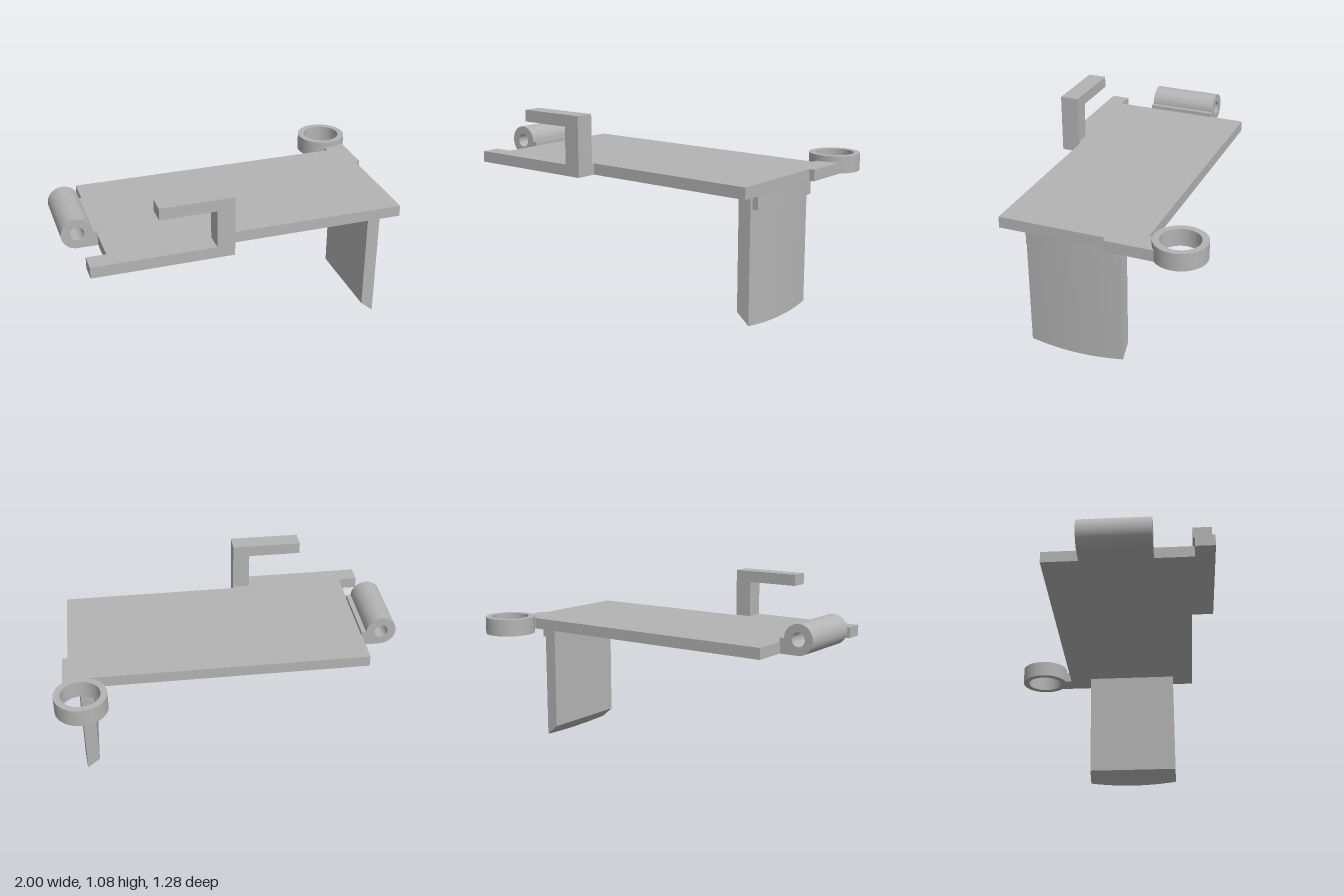
import * as THREE from 'three';
import { toCreasedNormals } from 'three/addons/utils/BufferGeometryUtils.js';

const BOTTOM = 0.735, TOP = 0.8;

export function createModel() {
  const group = new THREE.Group();
  const grey = new THREE.MeshStandardMaterial({ color: 0xb4b4b4 });
  grey.name = 'plain grey';

  const add = (name, geometry) => {
    const mesh = new THREE.Mesh(toCreasedNormals(geometry, Math.PI / 6), grey);
    mesh.name = name;
    group.add(mesh);
    return mesh;
  };
  const extrude = (shape, depth) =>
    new THREE.ExtrudeGeometry(shape, { depth, bevelEnabled: false, curveSegments: 40 });
  // Outline of [x, z] points raised from y0 to y1
  const slab = (points, y0, y1) =>
    extrude(new THREE.Shape(points.map(([x, z]) => new THREE.Vector2(x, -z))), y1 - y0)
      .rotateX(-Math.PI / 2).translate(0, y0, 0);
  // Outline with a flat inner face and an outer face that bulges towards +x
  const bulged = (inner, edge, middle, z0, z1) => {
    const points = [[inner, z1], [inner, z0]];
    for (let i = 0; i <= 16; i++) {
      const t = i / 8 - 1;
      points.push([middle - (middle - edge) * t * t, z0 + (z1 - z0) * i / 16]);
    }
    return points;
  };

  // Deck with the front rail and the corner ear that carries the ring
  add('deck', slab([
    [-0.8, -0.31], [0.82, -0.31], [0.82, -0.37], [0.95, -0.395], [0.95, -0.105], [0.92, -0.105],
    [0.92, 0.515], [-0.12, 0.515], [-0.12, 0.64], [-0.91, 0.64], [-0.91, 0.53], [-0.8, 0.53],
  ], BOTTOM, TOP));

  // Hook standing on the front rail
  const hook = new THREE.Shape([
    [-0.22, TOP], [-0.12, TOP], [-0.12, 1.083], [-0.535, 1.083], [-0.535, 1.015], [-0.22, 1.015],
  ].map(([x, y]) => new THREE.Vector2(x, y)));
  add('hook', extrude(hook, 0.11).translate(0, 0, 0.53));

  // Hinge barrel and its leaf in one profile
  const cx = -0.912, cy = 0.823, radius = 0.088;
  const hinge = new THREE.Shape();
  hinge.moveTo(-0.797, BOTTOM);
  hinge.lineTo(-0.797, cy);
  hinge.lineTo(cx + radius, cy);
  hinge.absarc(cx, cy, radius, 0, Math.PI * 1.5, false);
  hinge.closePath();
  hinge.holes.push(new THREE.Path().absarc(cx, cy, 0.04, 0, Math.PI * 2, true));
  add('hingeBarrel', extrude(hinge, 0.41).translate(0, 0, -0.1));

  // Ring at the back corner
  const ring = new THREE.Shape().absarc(0.851, 0.495, 0.147, 0, Math.PI * 2, false);
  ring.holes.push(new THREE.Path().absarc(0.851, 0.495, 0.11, 0, Math.PI * 2, true));
  add('cornerRing', extrude(ring, 0.1).rotateX(-Math.PI / 2).translate(0, BOTTOM, 0));

  // Hanging panel with a curved outer face and a slanted lower edge
  const panel = slab(bulged(0.79, 0.865, 0.882, -0.172, 0.385), 0, BOTTOM);
  const pos = panel.attributes.position;
  for (let i = 0; i < pos.count; i++) {
    if (pos.getY(i) < 0.01) pos.setY(i, (0.882 - pos.getX(i)) * 0.85);
  }
  panel.computeVertexNormals();
  add('hangingPanel', panel);

  // Curved lip between the panel and the deck
  add('panelLip', slab(bulged(0.84, 0.9, 0.918, -0.155, 0.368), 0.652, BOTTOM));

  return group;
}
